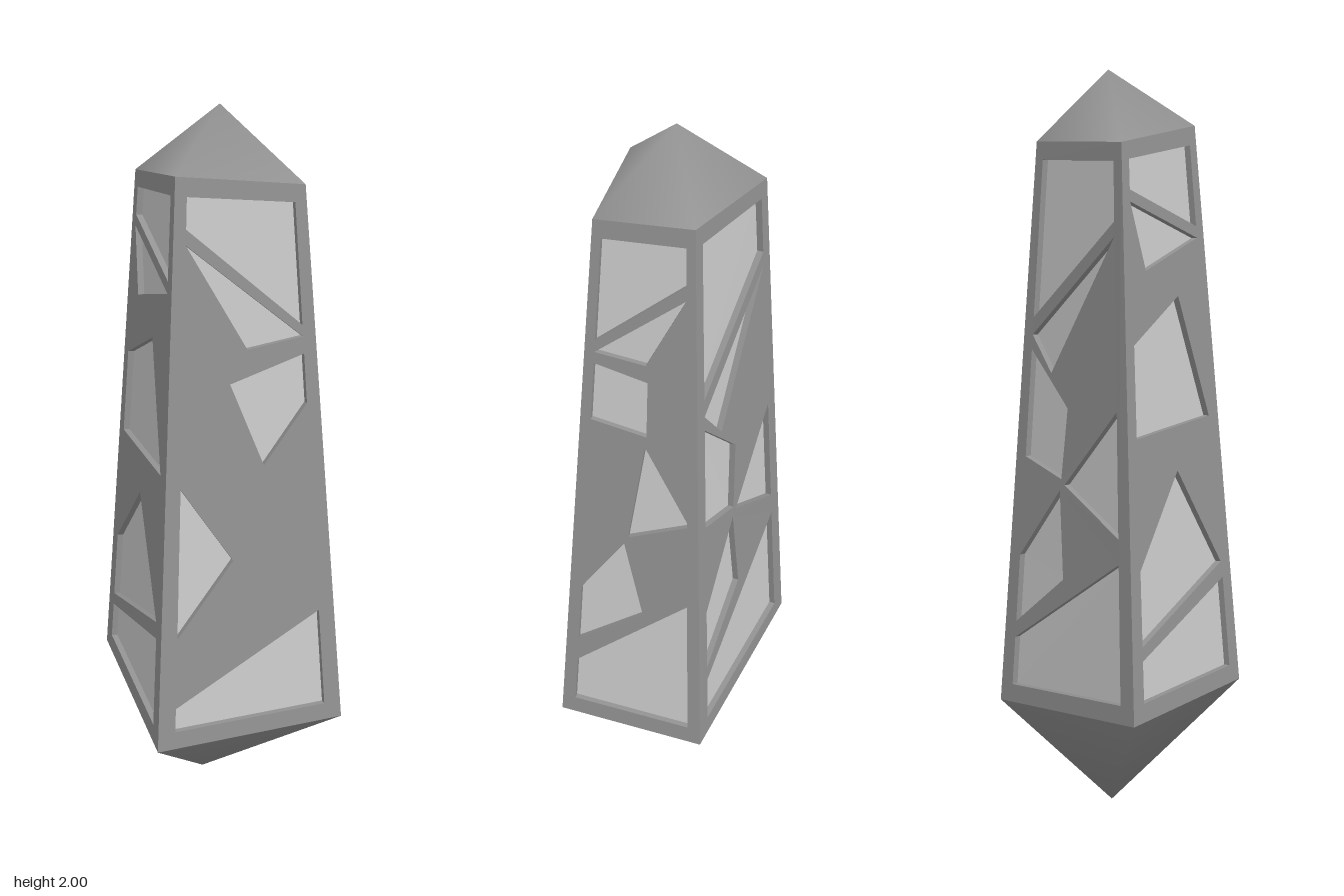
import * as THREE from 'three';

const V = (x, y, z) => new THREE.Vector3(x, y, z);
const paleStone = new THREE.MeshStandardMaterial({ color: 0xcccccc });
const darkStone = new THREE.MeshStandardMaterial({ color: 0x939393 });
const DEPTH = 0.017;

// Lower and upper corner rings, starting at the front corner on -x
const lower = [V(-0.22, 0.31, 0.27), V(0.32, 0.31, 0.17), V(0.245, 0.26, -0.235), V(-0.32, 0.36, -0.27)];
const upper = [V(-0.135, 1.86, 0.145), V(0.195, 1.82, 0.085), V(0.15, 1.82, -0.155), V(-0.2, 1.815, -0.195)];

// Facet outlines in fractions across (0..1) and up (0..1) a side.
// Every facet rests on one or both of the margins beside the corner edges.
const START = 0.09, END = 0.91, BASE = 0.034, TOP = 0.97;
const base = (a, b) => [[START, BASE], [END, BASE], [END, b], [START, a]];
const crown = (a, b) => [[START, a], [END, b], [END, TOP], [START, TOP]];
const shard = (a, b, tip) => [[START, a], tip, [END, b]];
const startFlap = (low, high, ...inner) => [[START, low], [START, high], ...inner];
const endFlap = (low, high, ...inner) => [[END, low], [END, high], ...inner];

const sides = {
  front: [
    base(0.08, 0.23),
    startFlap(0.215, 0.49, [0.41, 0.35]),
    endFlap(0.627, 0.715, [0.4, 0.667], [0.61, 0.52]),
    shard(0.895, 0.745, [0.52, 0.725]),
    crown(0.92, 0.765),
  ],
  left: [
    base(0.13, 0.31),
    startFlap(0.18, 0.3, [0.41, 0.415], [0.57, 0.27]),
    endFlap(0.475, 0.485, [0.56, 0.615], [0.44, 0.43]),
    startFlap(0.65, 0.755, [0.57, 0.735], [0.57, 0.635]),
    shard(0.775, 0.885, [0.55, 0.765]),
    crown(0.795, 0.908),
  ],
  back: [
    base(0.125, 0.285),
    startFlap(0.155, 0.28, [0.42, 0.405], [0.47, 0.245]),
    endFlap(0.33, 0.55, [0.46, 0.415]),
    startFlap(0.46, 0.65, [0.47, 0.55], [0.43, 0.425]),
    shard(0.675, 0.845, [0.3, 0.61]),
    crown(0.705, 0.87),
  ],
  right: [
    base(0.11, 0.205),
    startFlap(0.135, 0.27, [0.5, 0.425], [0.9, 0.235]),
    startFlap(0.5, 0.66, [0.62, 0.725], [0.89, 0.505]),
    shard(0.9, 0.815, [0.25, 0.78]),
    crown(0.92, 0.835),
  ],
};

const points = (list) => list.map(([s, t]) => new THREE.Vector2(s, t));

function addMesh(group, name, geometry, material) {
  geometry.computeVertexNormals();
  const mesh = new THREE.Mesh(geometry, material);
  mesh.name = name;
  group.add(mesh);
}

// Flat triangulated outline carried onto a side of the body
function mapped(shape, place, depth) {
  const geometry = new THREE.ShapeGeometry(shape).toNonIndexed();
  const pos = geometry.attributes.position;
  for (let i = 0; i < pos.count; i++) {
    const p = place(pos.getX(i), pos.getY(i), depth);
    pos.setXYZ(i, p.x, p.y, p.z);
  }
  return geometry;
}

// Dark side frame with openings and their walls, around the pale sunken facets
function buildSide(name, facets, index) {
  const group = new THREE.Group();
  group.name = name + 'Side';
  const next = (index + 1) % 4;
  const [a, b, c, d] = [lower[index], lower[next], upper[next], upper[index]];
  const normal = c.clone().sub(a).cross(d.clone().sub(b)).normalize();
  const place = (s, t, depth) =>
    a.clone().lerp(b, s).lerp(d.clone().lerp(c, s), t).addScaledVector(normal, -depth);

  const frame = new THREE.Shape(points([[0, 0], [1, 0], [1, 1], [0, 1]]));
  const walls = [];
  for (const facet of facets) {
    const outline = points(facet);
    if (THREE.ShapeUtils.isClockWise(outline)) outline.reverse();
    frame.holes.push(new THREE.Path(outline.slice().reverse()));
    addMesh(group, 'facet', mapped(new THREE.Shape(outline), place, DEPTH), paleStone);
    outline.forEach((p, i) => {
      const q = outline[(i + 1) % outline.length];
      const [p0, q0] = [place(p.x, p.y, 0), place(q.x, q.y, 0)];
      const [p1, q1] = [place(p.x, p.y, DEPTH), place(q.x, q.y, DEPTH)];
      walls.push(p0, q0, q1, p0, q1, p1);
    });
  }
  addMesh(group, 'frame', mapped(frame, place, 0), darkStone);
  addMesh(group, 'facetWalls', new THREE.BufferGeometry().setFromPoints(walls), darkStone);
  return group;
}

// Smooth four-sided point closing one end
function buildPoint(group, name, ring, apex, up) {
  const geometry = new THREE.BufferGeometry().setFromPoints([...ring, apex]);
  const index = [];
  for (let i = 0; i < 4; i++) {
    const j = (i + 1) % 4;
    index.push(...(up ? [i, j, 4] : [j, i, 4]));
  }
  geometry.setIndex(index);
  addMesh(group, name, geometry, darkStone);
}

export function createModel() {
  const model = new THREE.Group();
  model.name = 'crystal';
  Object.entries(sides).forEach(([name, facets], i) => model.add(buildSide(name, facets, i)));
  buildPoint(model, 'topPoint', upper, V(0, 2, -0.04), true);
  buildPoint(model, 'bottomPoint', lower, V(-0.05, 0, -0.08), false);
  return model;
}
